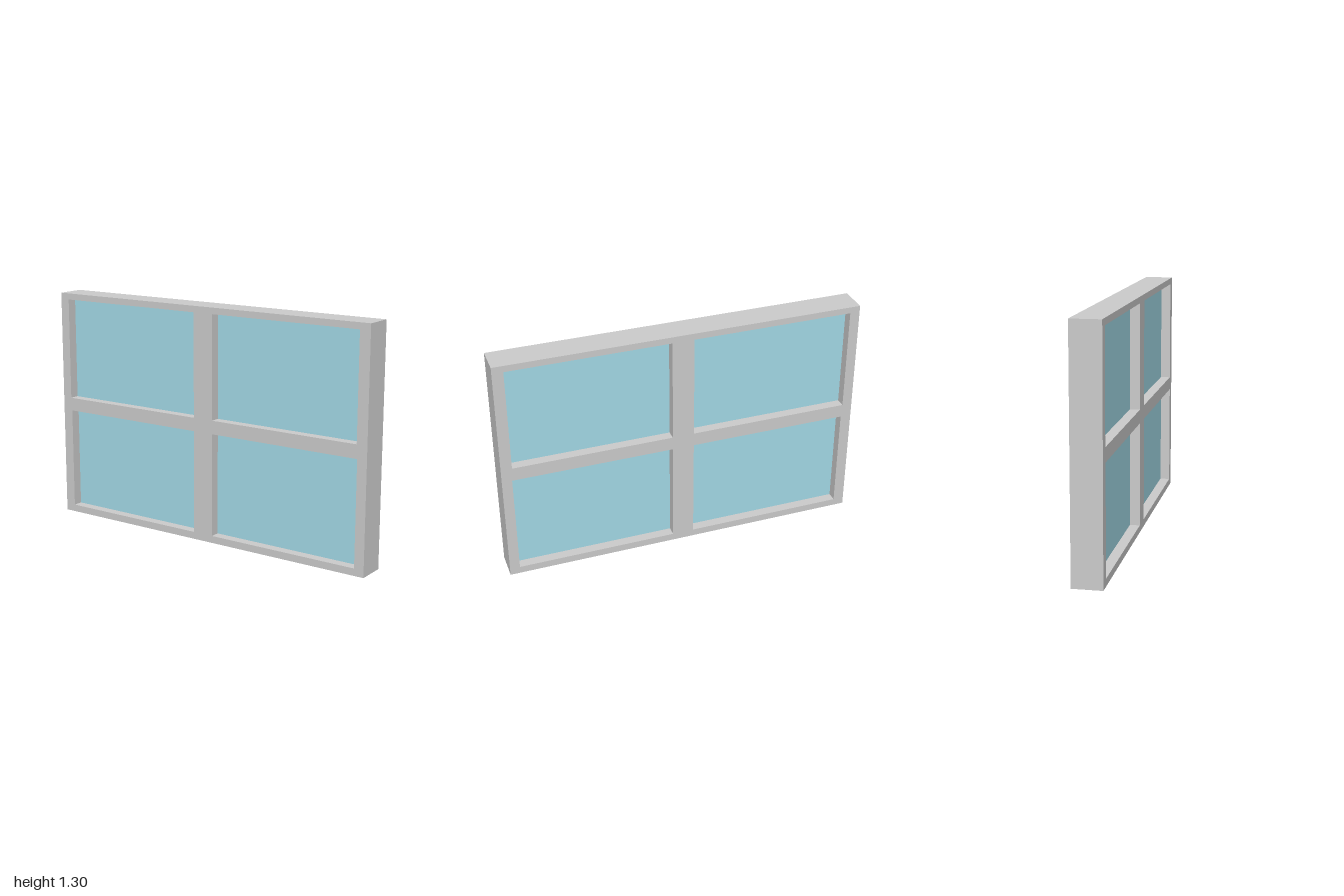
import * as THREE from 'three';

const DEPTH = 0.16, HEIGHT = 1.3, GLASS = 0.05;

// Openings as [z0, z1, y0, y1]
const OPENINGS = [
  [0.06, 0.945, 0.04, 0.615],
  [-0.94, -0.06, 0.04, 0.615],
  [0.06, 0.94, 0.69, 1.265],
  [-0.945, -0.06, 0.69, 1.265],
];

function rectangle(path, z0, z1, y0, y1) {
  path.moveTo(z0, y0);
  path.lineTo(z1, y0);
  path.lineTo(z1, y1);
  path.lineTo(z0, y1);
  path.closePath();
  return path;
}

export function createModel() {
  const model = new THREE.Group();
  model.name = 'window';
  const frameMaterial = new THREE.MeshStandardMaterial({ color: 0xcccccc });
  const glassMaterial = new THREE.MeshStandardMaterial({ color: 0xa2d9e6 });

  // Frame with crossing bars: one slab, four openings, extruded along x
  const outline = rectangle(new THREE.Shape(), -1, 1, 0, HEIGHT);
  for (const o of OPENINGS) outline.holes.push(rectangle(new THREE.Path(), ...o));
  const frameGeometry = new THREE.ExtrudeGeometry(outline, { depth: DEPTH, bevelEnabled: false });
  frameGeometry.translate(0, 0, -DEPTH / 2);
  frameGeometry.rotateY(-Math.PI / 2);
  const frame = new THREE.Mesh(frameGeometry, frameMaterial);
  frame.name = 'frame';
  model.add(frame);

  // Recessed glass panes
  const panes = new THREE.Group();
  panes.name = 'glassPanes';
  for (const [z0, z1, y0, y1] of OPENINGS) {
    const pane = new THREE.Mesh(new THREE.BoxGeometry(GLASS, y1 - y0, z1 - z0), glassMaterial);
    pane.position.set(0, (y0 + y1) / 2, (z0 + z1) / 2);
    pane.name = 'glassPane';
    panes.add(pane);
  }
  model.add(panes);
  return model;
}
